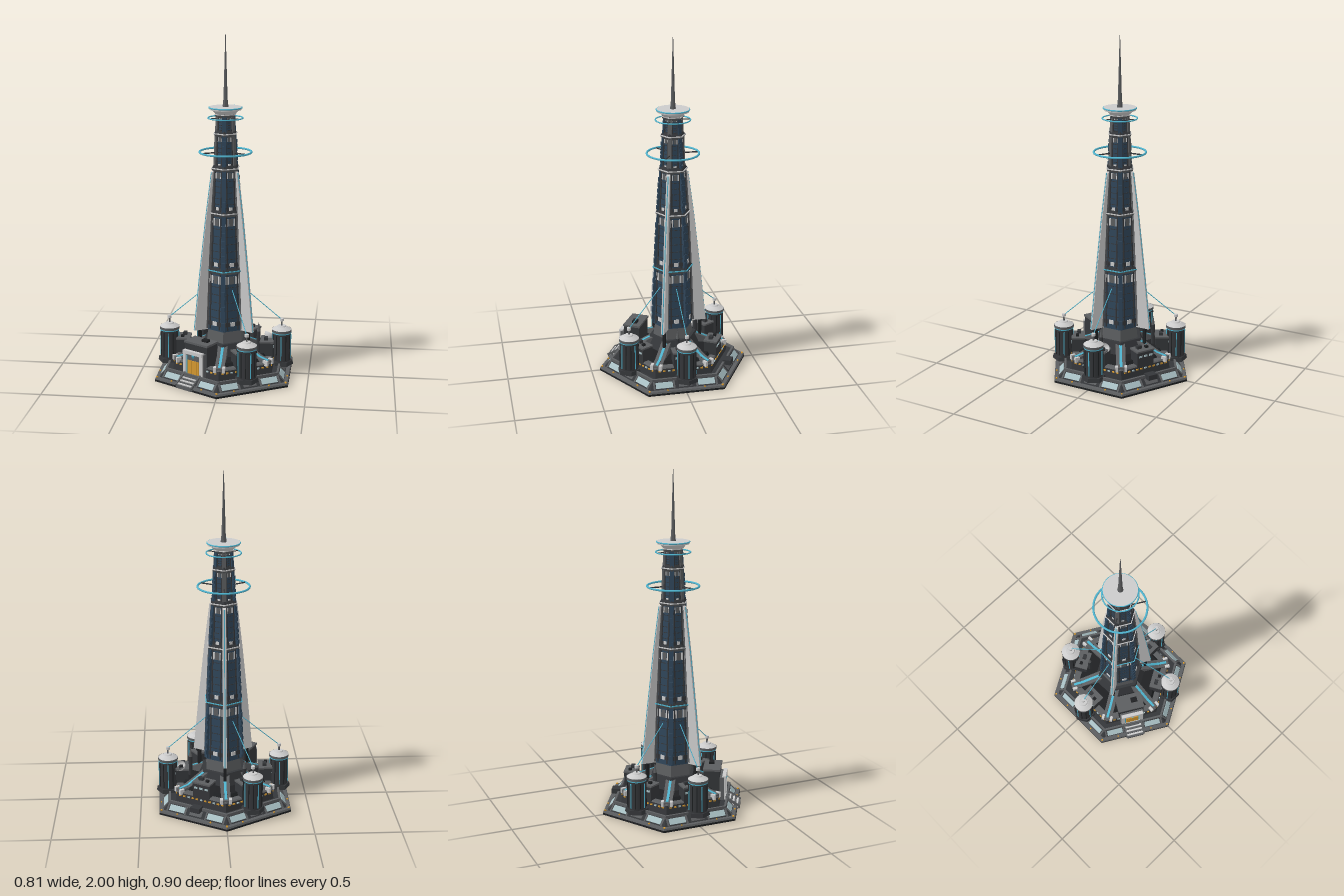
import * as THREE from 'three';

const mats = {};
const C = { light: 0xcccccc, mid: 0x5c5e60, dark: 0x35373a, black: 0x1f2123, glass: 0x30465a, cyan: 0x4fb4cf, pale: 0xa9c0c4, orange: 0xd89a30 };
const mat = (c, flat) => (mats[c + flat] ??= new THREE.MeshStandardMaterial({ color: C[c], flatShading: flat, side: THREE.DoubleSide }));
const RAD = Math.PI / 180, COS = Math.cos(Math.PI / 6);

function add(parent, name, geo, color, pos = [0, 0, 0], rot = [0, 0, 0], flat = true) {
  const m = new THREE.Mesh(geo, mat(color, flat));
  m.name = name;
  m.position.set(...pos);
  m.rotation.set(...rot);
  parent.add(m);
  return m;
}
const box = (w, h, d) => new THREE.BoxGeometry(w, h, d);

// Frustum standing between two heights
function drum(parent, name, color, y0, y1, r0, r1, sides = 6, x = 0, z = 0) {
  return add(parent, name, new THREE.CylinderGeometry(r1, r0, y1 - y0, sides), color, [x, (y0 + y1) / 2, z], [0, 0, 0], sides < 12);
}

// Group whose local +z points outward at the given heading
function sector(parent, name, deg) {
  const g = new THREE.Group();
  g.name = name;
  g.rotation.y = deg * RAD;
  parent.add(g);
  return g;
}

function rod(parent, name, color, a, b, r) {
  const p = new THREE.Vector3(...a), q = new THREE.Vector3(...b), d = q.clone().sub(p);
  const m = add(parent, name, new THREE.CylinderGeometry(r, r, d.length(), 6), color, p.add(q).multiplyScalar(0.5).toArray());
  m.quaternion.setFromUnitVectors(new THREE.Vector3(0, 1, 0), d.normalize());
}

function ring(parent, name, y, r, t) {
  add(parent, name, new THREE.TorusGeometry(r, t, 8, 64), 'cyan', [0, y, 0], [Math.PI / 2, 0, 0], false);
}

function buildBase(g) {
  drum(g, 'groundSlab', 'black', 0, 0.012, 0.45, 0.45);
  drum(g, 'slabRim', 'mid', 0.012, 0.022, 0.45, 0.445);
  drum(g, 'slopedPlinth', 'dark', 0.02, 0.06, 0.422, 0.38);
  drum(g, 'innerPlatform', 'dark', 0.06, 0.115, 0.335, 0.325);
  drum(g, 'platformTrim', 'mid', 0.115, 0.122, 0.33, 0.322);
  drum(g, 'upperDeck', 'black', 0.12, 0.14, 0.285, 0.27);
  for (let i = 0; i < 6; i++) {
    const s = sector(g, 'baseSide', 30 + 60 * i);
    add(s, 'parapet', box(0.385, 0.016, 0.012), 'mid', [0, 0.066, 0.326]);
    for (const x of [-0.125, 0.125, 0])
      add(s, 'slopePanel', box(x ? 0.1 : 0.08, 0.004, 0.036), x ? 'pale' : 'mid', [x, 0.043, 0.349], [0.83, 0, 0]);
    for (const x of [-0.185, -0.067, 0.067, 0.185])
      add(s, 'slopeRib', box(0.01, 0.008, 0.05), 'mid', [x, 0.041, 0.349], [0.83, 0, 0]);
    for (let k = -5; k <= 5; k++)
      add(s, 'platformLight', box(0.014, 0.008, 0.006), k % 3 ? 'orange' : 'pale', [k * 0.028, 0.1, 0.287]);
    for (const x of [-0.11, 0.11]) add(s, 'rimLamp', box(0.008, 0.006, 0.008), 'orange', [x, 0.025, 0.378]);

    // Sloping buttress at each corner
    const c = sector(g, 'buttress', 60 * i);
    const p = new THREE.Shape([[0.08, 0.1], [0.32, 0.1], [0.32, 0.13], [0.25, 0.142], [0.13, 0.2], [0.08, 0.2]].map(v => new THREE.Vector2(...v)));
    add(c, 'buttressBody', new THREE.ExtrudeGeometry(p, { depth: 0.056, bevelEnabled: false }), 'mid', [0.028, 0, 0], [0, -Math.PI / 2, 0]);
    add(c, 'buttressLight', box(0.015, 0.005, 0.135), 'cyan', [0, 0.172, 0.19], [0.45, 0, 0]);
    add(c, 'lightStrip', box(0.015, 0.005, 0.06), 'cyan', [0, 0.137, 0.28], [0.17, 0, 0]);
    for (const x of [-0.026, 0.026]) add(c, 'buttressPad', box(0.016, 0.03, 0.03), 'light', [x, 0.122, 0.31]);
    add(c, 'cornerLamp', box(0.01, 0.006, 0.01), 'orange', [0, 0.025, 0.435]);
  }
  drum(g, 'towerFoot', 'dark', 0.14, 0.21, 0.17, 0.14);
  drum(g, 'towerCollar', 'mid', 0.21, 0.29, 0.12, 0.108);
}

function buildTower(g) {
  const tiers = [[0.28, 0.64, 0.122, 0.107], [0.64, 0.98, 0.107, 0.09], [0.98, 1.24, 0.09, 0.072], [1.24, 1.44, 0.066, 0.058], [1.44, 1.55, 0.056, 0.05]];
  tiers.forEach(([y0, y1, r0, r1], t) => {
    const h = y1 - y0, tilt = -Math.atan((r0 - r1) * COS / h), tiltV = -Math.atan((r0 - r1) / h);
    drum(g, 'tierGlass', 'glass', y0, y1, r0, r1);
    drum(g, 'tierLedge', 'mid', y1 - 0.016, y1, r1 + 0.004, r1 + 0.016);
    drum(g, 'ledgeTop', t === 0 ? 'cyan' : 'light', y1, y1 + 0.006, r1 + 0.017, r1 + 0.017);
    drum(g, 'tierSill', 'dark', y1 + 0.006, y1 + 0.022, r1 + 0.012, r1 + 0.002);
    for (let i = 0; i < 6; i++) {
      const s = sector(g, 'tierFace', 30 + 60 * i);
      const at = (f, off = 0) => (r0 + (r1 - r0) * f) * COS + off;
      for (const k of [-1, 0, 1]) {
        const w = (r0 + r1) / 2 * 0.25;
        add(s, 'upperPanel', box(w, h * 0.13, 0.006), k ? 'light' : 'mid', [k * w * 1.15, y0 + h * 0.86, at(0.86)], [tilt, 0, 0]);
        add(s, 'lowerPanel', box(w, h * 0.07, 0.006), k ? 'dark' : 'light', [k * w * 1.15, y0 + h * 0.12, at(0.12)], [tilt, 0, 0]);
        for (let j = 0; j < 5; j++)
          add(s, 'windowBar', box(w * 0.9, 0.004, 0.005), 'dark', [k * w * 1.15, y0 + h * (0.22 + j * 0.13), at(0.22 + j * 0.13)], [tilt, 0, 0]);
      }
      for (const x of [-1, 1])
        add(s, 'mullion', box(0.007, h * 0.95, 0.01), 'dark', [x * (r0 + r1) * 0.145, y0 + h / 2, at(0.5)], [tilt, 0, 0]);
      // Corner column, with stacked bays on the corners without fins
      const c = sector(g, 'tierCorner', 60 * i);
      add(c, 'cornerColumn', box(0.024, h * 0.96, 0.012), i % 2 ? 'mid' : 'glass', [0, y0 + h / 2, (r0 + r1) / 2 - 0.001], [tiltV, 0, 0]);
      if (i % 2 === 0 && t < 4)
        for (let j = 0; j < 6; j++) {
          const f = 0.12 + j * 0.13;
          add(c, 'bay', box(0.02, h * 0.09, 0.014), 'glass', [0, y0 + h * f, r0 + (r1 - r0) * f + 0.003], [tiltV, 0, 0]);
        }
    }
  });
  // Three tapering fins with lit edges
  const edge = [[0.2, 0.28], [0.166, 0.6], [0.125, 0.95], [0.088, 1.22]];
  for (const deg of [60, 180, 300]) {
    const s = sector(g, 'fin', deg);
    const p = new THREE.Shape([[0.085, 0.28], ...edge, [0.06, 1.24]].map(v => new THREE.Vector2(...v)));
    add(s, 'finPlate', new THREE.ExtrudeGeometry(p, { depth: 0.02, bevelEnabled: false }), 'light', [0.01, 0, 0], [0, -Math.PI / 2, 0]);
    for (let k = 0; k < 3; k++) rod(s, 'finEdge', 'cyan', [0, edge[k][1], edge[k][0]], [0, edge[k + 1][1], edge[k + 1][0]], 0.003);
    add(s, 'finPost', box(0.016, 0.16, 0.018), 'black', [0, 0.2, 0.165]);
  }
  // Crown, halo rings and spire
  ring(g, 'largeHalo', 1.333, 0.15, 0.006);
  ring(g, 'smallHalo', 1.53, 0.1, 0.004);
  ring(g, 'crownRim', 1.59, 0.094, 0.004);
  for (let i = 0; i < 3; i++) {
    const s = sector(g, 'haloArms', 60 + 120 * i);
    rod(s, 'haloArm', 'dark', [0, 1.333, 0.05], [0, 1.333, 0.15], 0.004);
    rod(s, 'smallHaloArm', 'dark', [0, 1.53, 0.04], [0, 1.53, 0.1], 0.003);
  }
  drum(g, 'crownFlare', 'light', 1.55, 1.58, 0.055, 0.08, 32);
  drum(g, 'crownDisc', 'light', 1.578, 1.594, 0.092, 0.094, 48);
  drum(g, 'spireBase', 'mid', 1.594, 1.64, 0.017, 0.012, 8);
  drum(g, 'spire', 'mid', 1.64, 2, 0.012, 0.0015, 8);
}

function buildPod(s, x) {
  const z = 0.335;
  drum(s, 'podBase', 'dark', 0.055, 0.08, 0.07, 0.066, 6, x, z);
  drum(s, 'podBody', 'dark', 0.08, 0.255, 0.054, 0.054, 24, x, z);
  drum(s, 'podBand', 'cyan', 0.25, 0.257, 0.057, 0.057, 24, x, z);
  drum(s, 'podCollar', 'mid', 0.257, 0.272, 0.059, 0.059, 24, x, z);
  drum(s, 'podRoof', 'light', 0.272, 0.288, 0.058, 0.03, 24, x, z);
  drum(s, 'podCap', 'light', 0.286, 0.295, 0.028, 0.022, 24, x, z);
  drum(s, 'podMast', 'mid', 0.29, 0.33, 0.005, 0.005, 8, x, z);
  drum(s, 'podKnob', 'light', 0.322, 0.338, 0.012, 0.012, 12, x, z);
  for (let k = 0; k < 12; k++) {
    const a = k * 30 * RAD;
    add(s, 'podStripe', box(0.005, 0.15, 0.006), k % 3 ? 'black' : 'cyan', [x + Math.sin(a) * 0.054, 0.165, z + Math.cos(a) * 0.054], [0, a, 0]);
  }
  rod(s, 'podCable', 'cyan', [x, 0.33, z], [0, 0.53, 0.1], 0.0025);
}

function buildBlock(s) {
  add(s, 'blockBody', box(0.11, 0.1, 0.075), 'dark', [0, 0.155, 0.25]);
  add(s, 'blockRoof', box(0.116, 0.01, 0.081), 'mid', [0, 0.205, 0.25]);
  add(s, 'roofUnit', box(0.03, 0.02, 0.022), 'dark', [-0.02, 0.218, 0.245]);
  add(s, 'roofVent', box(0.018, 0.014, 0.018), 'black', [0.025, 0.215, 0.255]);
  for (const x of [-0.035, 0, 0.035]) add(s, 'blockWindow', box(0.022, 0.012, 0.004), 'pale', [x, 0.175, 0.288]);
}

function buildGate(s) {
  add(s, 'gatehouse', box(0.16, 0.13, 0.095), 'dark', [0, 0.18, 0.237]);
  add(s, 'gatehouseRoof', box(0.168, 0.012, 0.103), 'mid', [0, 0.248, 0.237]);
  add(s, 'gatehouseVent', box(0.04, 0.015, 0.03), 'black', [0.03, 0.26, 0.23]);
  add(s, 'portal', box(0.15, 0.14, 0.03), 'mid', [0, 0.132, 0.295]);
  for (const x of [-1, 1]) {
    add(s, 'portalPillar', box(0.02, 0.135, 0.02), 'light', [x * 0.06, 0.132, 0.31]);
    add(s, 'portalLight', box(0.005, 0.11, 0.004), 'cyan', [x * 0.046, 0.125, 0.312]);
    add(s, 'stairRail', box(0.008, 0.014, 0.1), 'mid', [x * 0.056, 0.048, 0.36], [0.55, 0, 0]);
  }
  add(s, 'portalLintel', box(0.14, 0.02, 0.022), 'light', [0, 0.2, 0.31]);
  add(s, 'lintelLamp', new THREE.CylinderGeometry(0.016, 0.002, 0.02, 3), 'cyan', [0, 0.175, 0.312]);
  for (let k = -2; k <= 2; k++) add(s, 'doorSlat', box(0.015, 0.085, 0.006), 'orange', [k * 0.0165, 0.11, 0.312]);
  for (let k = 0; k < 8; k++) add(s, 'stair', box(0.105, 0.062 - k * 0.006, 0.0115), k % 2 ? 'mid' : 'light', [0, 0.032 - k * 0.003 + 0.005, 0.32 + k * 0.0112]);
}

export function createModel() {
  const g = new THREE.Group();
  g.name = 'skyTower';
  buildBase(g);
  buildTower(g);
  for (const [deg, x] of [[90, 0.01], [270, 0.01], [30, -0.012], [210, -0.012]]) {
    const s = sector(g, 'podSide', deg);
    buildPod(s, x);
    buildBlock(s);
  }
  const back = sector(g, 'blockSide', 150);
  buildBlock(back);
  add(back, 'hatch', box(0.06, 0.03, 0.05), 'dark', [0, 0.07, 0.345]);
  buildGate(sector(g, 'gateSide', -30));
  // Dish and slender masts on the deck
  const dish = add(g, 'dish', new THREE.SphereGeometry(0.034, 20, 8, 0, Math.PI * 2, 0, Math.PI / 2), 'light', [0.265, 0.228, -0.04], [2.6, 0, 0.4], false);
  rod(g, 'dishStand', 'dark', [0.265, 0.2, -0.04], dish.position.toArray(), 0.006);
  for (const [x, z] of [[-0.115, -0.165], [0.2, 0.015]]) {
    drum(g, 'mast', 'dark', 0.13, 0.26, 0.013, 0.011, 8, x, z);
    drum(g, 'mastTip', 'mid', 0.26, 0.315, 0.011, 0.001, 8, x, z);
  }
  return g;
}
